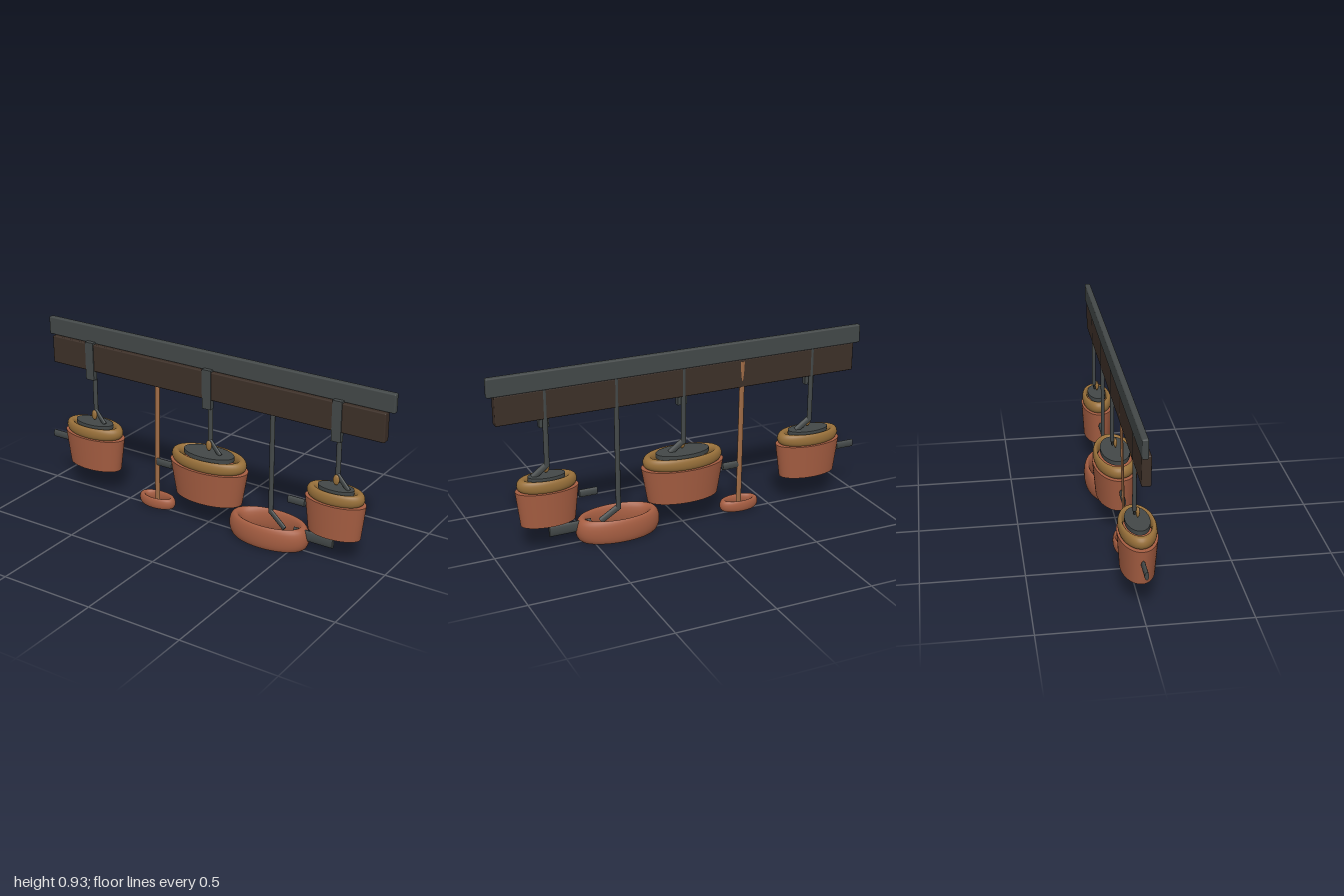
import * as THREE from 'three';
import { RoundedBoxGeometry } from 'three/addons/geometries/RoundedBoxGeometry.js';

const mat = (color) => new THREE.MeshStandardMaterial({ color });
const IRON = mat(0x434848), WOOD = mat(0x3d3028), COPPER = mat(0xa65e42);
const BRASS = mat(0x98703a), STICK = mat(0xa06c46);
const FLAT = 0.51; // every round vessel is squashed front to back

function add(parent, name, geometry, material, x = 0, y = 0, z = 0) {
  const mesh = new THREE.Mesh(geometry, material);
  mesh.name = name;
  mesh.position.set(x, y, z);
  parent.add(mesh);
  return mesh;
}

// round bar between two points, thinner in depth
function bar(parent, name, a, b, rx, rz, material) {
  const from = new THREE.Vector3(...a), to = new THREE.Vector3(...b);
  const geometry = new THREE.CylinderGeometry(1, 1, from.distanceTo(to), 20);
  geometry.scale(rx, 1, rz);
  const mesh = add(parent, name, geometry, material);
  mesh.position.addVectors(from, to).multiplyScalar(0.5);
  mesh.quaternion.setFromUnitVectors(new THREE.Vector3(0, 1, 0), to.sub(from).normalize());
  return mesh;
}

// oval ring with an elliptical section
function ring(parent, name, outer, tube, height, material, x, y) {
  const geometry = new THREE.TorusGeometry(outer - tube, tube, 20, 56);
  geometry.rotateX(Math.PI / 2);
  geometry.scale(1, height / (2 * tube), FLAT);
  return add(parent, name, geometry, material, x, y, 0);
}

// oval grip lying along x
function grip(parent, name, x0, x1, y, halfHeight) {
  const geometry = new THREE.CylinderGeometry(1, 1, x1 - x0, 24);
  geometry.rotateZ(Math.PI / 2);
  geometry.scale(1, halfHeight, 0.01);
  return add(parent, name, geometry, IRON, (x0 + x1) / 2, y, 0);
}

// hanging rod with the slanting foot at its lower end
function hanger(parent, x, bottom, footX, footY) {
  bar(parent, 'hangerRod', [x, bottom, -0.014], [x, 0.83, -0.014], 0.013, 0.0095, IRON);
  bar(parent, 'hangerFoot', [x, bottom + 0.01, -0.013], [x + footX, bottom - footY, 0.002], 0.016, 0.009, IRON);
}

function pot(x, top, bottom, lid, gripStart, gripEnd) {
  const group = new THREE.Group();
  group.name = 'hangingPot';
  const body = new THREE.CylinderGeometry(top, bottom, 0.18, 56);
  body.scale(1, 1, FLAT);
  add(group, 'potBody', body, COPPER, x, 0.235, 0);
  ring(group, 'potRim', top - 0.009, 0.025, 0.062, BRASS, x, 0.355);
  const disc = new THREE.CylinderGeometry(lid, lid, 0.022, 48);
  disc.scale(1, 1, FLAT);
  add(group, 'potLid', disc, IRON, x, 0.383, 0);
  const knob = new THREE.SphereGeometry(1, 20, 14);
  knob.scale(0.017, 0.027, 0.009);
  add(group, 'lidKnob', knob, BRASS, x, 0.43, 0.002);
  grip(group, 'potHandle', gripStart, gripEnd, 0.26, 0.02);
  hanger(group, x, 0.44, 0.068, 0.05);
  add(group, 'hookPlate', new THREE.BoxGeometry(0.05, 0.205, 0.027), IRON, x, 0.7375, 0.0135);
  return group;
}

export function createModel() {
  const model = new THREE.Group();
  model.name = 'potRack';

  // wall rail
  add(model, 'topRail', new RoundedBoxGeometry(2, 0.095, 0.03, 2, 0.007), IRON, 0, 0.8775, -0.012);
  add(model, 'backBoard', new RoundedBoxGeometry(1.93, 0.147, 0.044, 2, 0.006), WOOD, 0, 0.7575, 0);

  // three lidded pots
  model.add(
    pot(-0.722, 0.182, 0.157, 0.113, -1.0, -0.903),
    pot(0, 0.222, 0.19, 0.143, -0.32, -0.226),
    pot(0.72, 0.16, 0.139, 0.094, 0.463, 0.556),
  );

  // open pan
  const pan = new THREE.Group();
  pan.name = 'hangingPan';
  ring(pan, 'panRing', 0.222, 0.034, 0.124, COPPER, 0.357, 0.062);
  grip(pan, 'panHandle', 0.5, 0.717, 0.087, 0.029);
  hanger(pan, 0.357, 0.145, 0.09, 0.055);
  model.add(pan);

  // ladle, leaning back into the board
  const ladle = new THREE.Group();
  ladle.name = 'ladle';
  ring(ladle, 'ladleRing', 0.107, 0.019, 0.058, COPPER, -0.322, 0.04);
  bar(ladle, 'ladleStick', [-0.322, 0.03, 0.001], [-0.322, 0.82, -0.018], 0.0145, 0.0065, STICK);
  model.add(ladle);

  return model;
}
